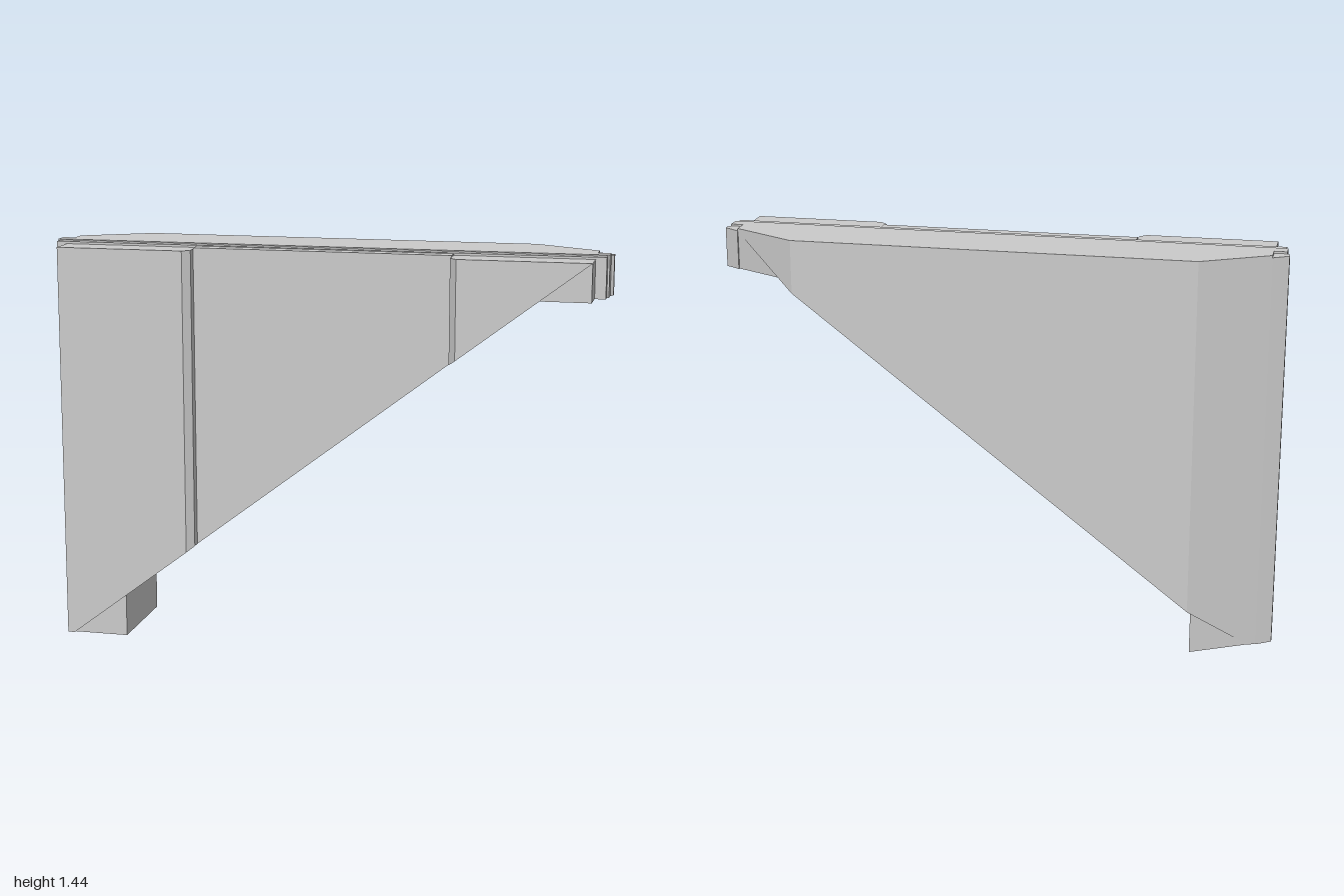
import * as THREE from 'three';
import { mergeGeometries } from 'three/addons/utils/BufferGeometryUtils.js';

const material = new THREE.MeshStandardMaterial({ color: 0xcccccc, flatShading: true });

// Underside of the triangular panel: a straight diagonal from foot to arm
const LOW_X = -0.92, HIGH_X = 0.945;
const diagonal = x => 0.765 * (x - LOW_X);

// Keep the part of a convex [x, z] outline between two x limits
function clipX(points, min, max) {
  const cut = (pts, limit, sign) => {
    const out = [];
    pts.forEach((a, i) => {
      const b = pts[(i + 1) % pts.length];
      const da = sign * (a[0] - limit), db = sign * (b[0] - limit);
      if (da >= 0) out.push(a);
      if (da * db < 0) {
        const t = da / (da - db);
        out.push([limit, a[1] + t * (b[1] - a[1])]);
      }
    });
    return out;
  };
  return cut(cut(points, min, 1), max, -1);
}

// Upright prism over an [x, z] outline, with its underside following bottom(x)
function prism(points, bottom, top) {
  const shape = new THREE.Shape(points.map(([x, z]) => new THREE.Vector2(x, -z)));
  const geometry = new THREE.ExtrudeGeometry(shape, { depth: 1, bevelEnabled: false });
  geometry.rotateX(-Math.PI / 2);
  const p = geometry.attributes.position;
  for (let i = 0; i < p.count; i++) {
    const low = Math.min(bottom(p.getX(i)), top - 0.001);
    p.setY(i, p.getY(i) > 0.5 ? top : low);
  }
  geometry.computeVertexNormals();
  return geometry;
}

// One layer of the panel: left edge, diagonal web, right end and two stubs
function layer(name, points, top) {
  const slices = [
    [-1, LOW_X, () => 0, top, 1],
    [LOW_X, HIGH_X, diagonal, top, 1],
    [HIGH_X, 1, () => 1.29, top, 1],
    [LOW_X, -0.72, () => 0, 0.158, 0.95],
    [0.77, HIGH_X, () => 1.29, top - 0.005, 0.95],
  ];
  const geometries = [];
  for (const [min, max, bottom, height, depthScale] of slices) {
    const part = clipX(points, min, max);
    const xs = part.map(q => q[0]);
    if (part.length < 3 || Math.max(...xs) - Math.min(...xs) < 0.001) continue;
    geometries.push(prism(part.map(([x, z]) => [x, z * depthScale]), bottom, height));
  }
  const mesh = new THREE.Mesh(mergeGeometries(geometries), material);
  mesh.name = name;
  return mesh;
}

const band = (halfWidth, back, front) => [
  [-halfWidth, back], [-halfWidth, front], [halfWidth, front], [halfWidth, back],
];
const mirror = points => points.map(([x, z]) => [-x, z]).reverse();

export function createModel() {
  const group = new THREE.Group();
  group.name = 'triangularPanel';

  // Raised front plates with a bevelled inner edge
  const plate = [[-0.945, 0.085], [-0.945, 0.19], [-0.485, 0.19], [-0.46, 0.165], [-0.46, 0.085]];
  group.add(layer('rightFrontPlate', plate, 1.425));
  group.add(layer('leftFrontPlate', mirror(plate), 1.425));

  // Recessed panel between the plates, and the two stepped bands behind it
  group.add(layer('centrePanel', band(0.46, 0.085, 0.132), 1.43));
  group.add(layer('frontBand', band(0.983, 0.05, 0.085), 1.433));
  group.add(layer('middleBand', band(0.99, 0, 0.05), 1.437));

  // Wedge trims along both side edges
  const trim = [[-0.99, 0], [-0.945, 0], [-0.945, -0.065], [-1, -0.03], [-1, -0.01]];
  group.add(layer('rightSideTrim', trim, 1.43));
  group.add(layer('leftSideTrim', mirror(trim), 1.43));

  // Back body with wide chamfers
  group.add(layer('backBody', [
    [-0.945, 0], [0.945, 0], [0.945, -0.06], [0.71, -0.193], [-0.71, -0.193], [-0.945, -0.06],
  ], 1.437));

  return group;
}
